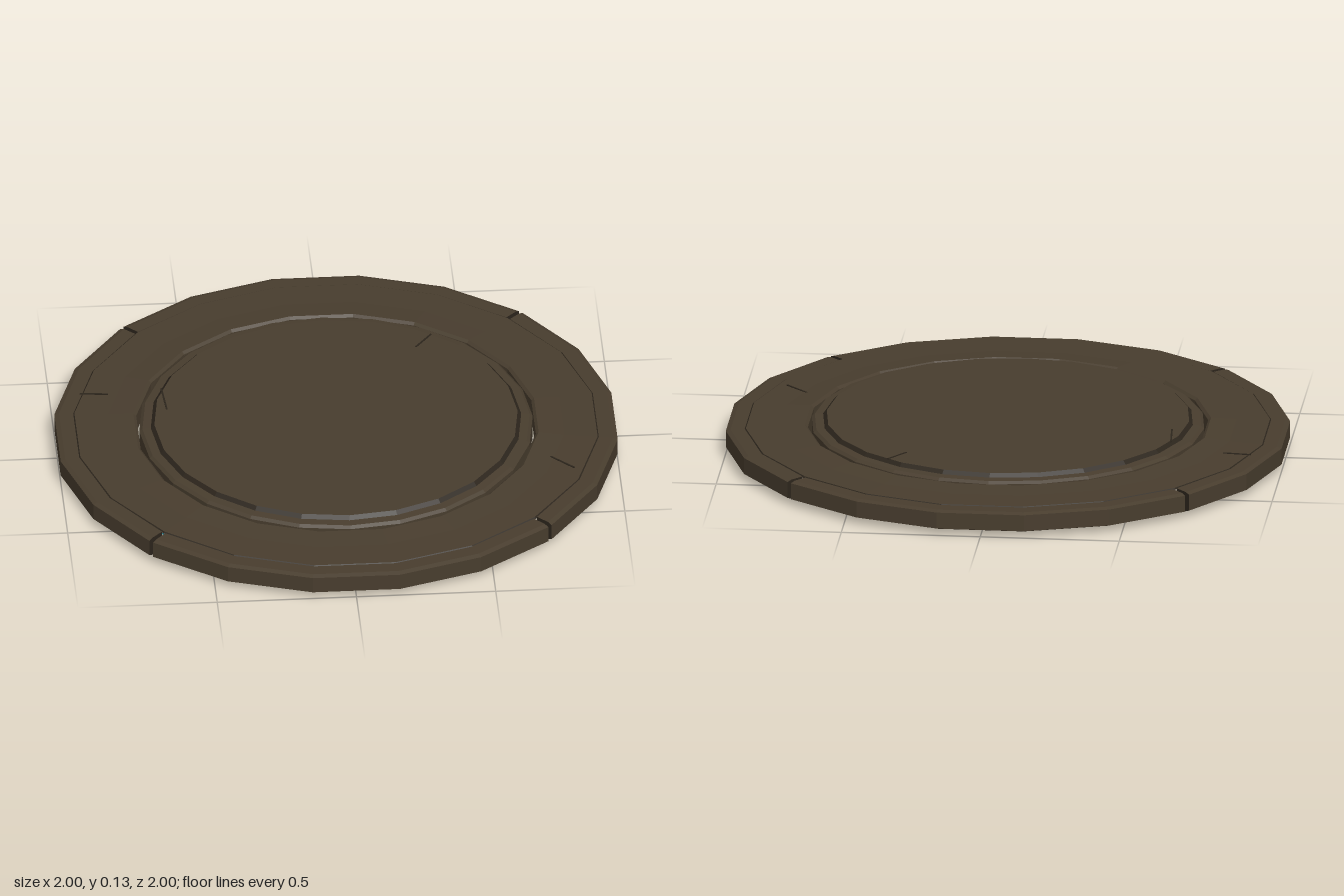
import * as THREE from 'three';

const DEG = Math.PI / 180;
const stone = new THREE.MeshStandardMaterial({ color: 0x483d2e });
stone.name = 'brownMetal';
const crease = new THREE.MeshStandardMaterial({ color: 0x2c251c, side: THREE.DoubleSide });
crease.name = 'darkCrease';
const teal = new THREE.MeshStandardMaterial({ color: 0x2b97ae });
teal.name = 'tealLight';

// Faceted surface of revolution between two angles, measured from +z toward +x
function turned(name, profile, material, segments, start = 0, sweep = 360) {
  const points = profile.map(([r, y]) => new THREE.Vector2(r, y));
  const geometry = new THREE.LatheGeometry(points, segments, start * DEG, sweep * DEG).toNonIndexed();
  geometry.computeVertexNormals();
  const mesh = new THREE.Mesh(geometry, material);
  mesh.name = name;
  return mesh;
}

// Flat end face of a turned part
function endCap(name, profile, angle) {
  const shape = new THREE.Shape(profile.map(([r, y]) => new THREE.Vector2(r, y)));
  const mesh = new THREE.Mesh(new THREE.ShapeGeometry(shape), crease);
  mesh.rotation.y = (angle - 90) * DEG;
  mesh.name = name;
  return mesh;
}

// Thin dark scratch lying on the upper surface
function scratch(x1, z1, x2, z2, y) {
  const length = Math.hypot(x2 - x1, z2 - z1);
  const mesh = new THREE.Mesh(new THREE.BoxGeometry(length, 0.003, 0.006), crease);
  mesh.position.set((x1 + x2) / 2, y, (z1 + z2) / 2);
  mesh.rotation.y = -Math.atan2(z2 - z1, x2 - x1);
  mesh.name = 'scratch';
  return mesh;
}

function createModel() {
  const model = new THREE.Group();

  // Central disc, with a dark bevel around its raised plates
  const disc = new THREE.Group();
  disc.name = 'centreDisc';
  disc.add(
    turned('lowerPlate', [[0, 0], [0.645, 0]], stone, 24),
    turned('lowerBevel', [[0.645, 0], [0.66, 0.013]], crease, 24),
    turned('discEdge', [[0.66, 0.013], [0.695, 0.016], [0.706, 0.027], [0.706, 0.1],
      [0.695, 0.109], [0.665, 0.112]], stone, 24),
    turned('upperBevel', [[0.665, 0.112], [0.652, 0.125]], crease, 24),
    turned('upperPlate', [[0.652, 0.125], [0, 0.125]], stone, 24),
  );
  model.add(disc);

  // Outer ring, in flat-sided quarters lining up with the rim
  const ring = new THREE.Group();
  ring.name = 'outerRing';
  ring.add(
    turned('ringUnderside', [[0.718, 0.095], [0.718, 0.026], [0.728, 0.02], [0.94, 0.02]], stone, 20, 45),
    turned('lowerCrease', [[0.94, 0.02], [0.946, 0.024]], crease, 20, 45),
    turned('upperCrease', [[0.946, 0.09], [0.94, 0.095]], crease, 20, 45),
    turned('ringTop', [[0.94, 0.095], [0.82, 0.097], [0.728, 0.104], [0.718, 0.095]], stone, 20, 45),
  );
  model.add(ring);

  // Four rim quarters separated by narrow seams
  const rim = [[0.944, 0.02], [0.99, 0.018], [1.012, 0.026], [1.012, 0.086],
    [0.995, 0.092], [0.944, 0.093], [0.944, 0.02]];
  const gap = 0.5;
  for (let i = 0; i < 4; i++) {
    const start = 45 + i * 90 + gap;
    const end = start + 90 - 2 * gap;
    const quarter = new THREE.Group();
    quarter.name = 'rimQuarter';
    quarter.add(
      turned('rim', rim, stone, 5, start, end - start),
      endCap('seamStart', rim, start),
      endCap('seamEnd', rim, end),
    );
    model.add(quarter);
  }

  // Light panels on the underside: three at front and back, one long one at each side
  const panel = [[0.77, 0.02], [0.77, 0.014], [0.866, 0.014], [0.866, 0.02]];
  const addPanel = (from, to) =>
    model.add(turned('lightPanel', panel, teal, Math.ceil((to - from) / 5), from, to - from));
  for (const centre of [0, 180]) {
    addPanel(centre - 41.5, centre - 20);
    addPanel(centre - 15.5, centre + 15.5);
    addPanel(centre + 20, centre + 41.5);
    addPanel(centre + 90 - 40.5, centre + 90 + 40.5);
  }

  // Wear marks
  model.add(
    scratch(0.32, -0.45, 0.38, -0.53, 0.1255),
    scratch(0.75, 0.27, 0.83, 0.35, 0.0975),
    scratch(-0.61, -0.24, -0.6, -0.1, 0.1255),
    scratch(-0.9, -0.27, -0.8, -0.26, 0.0975),
  );
  return model;
}

export { createModel };
